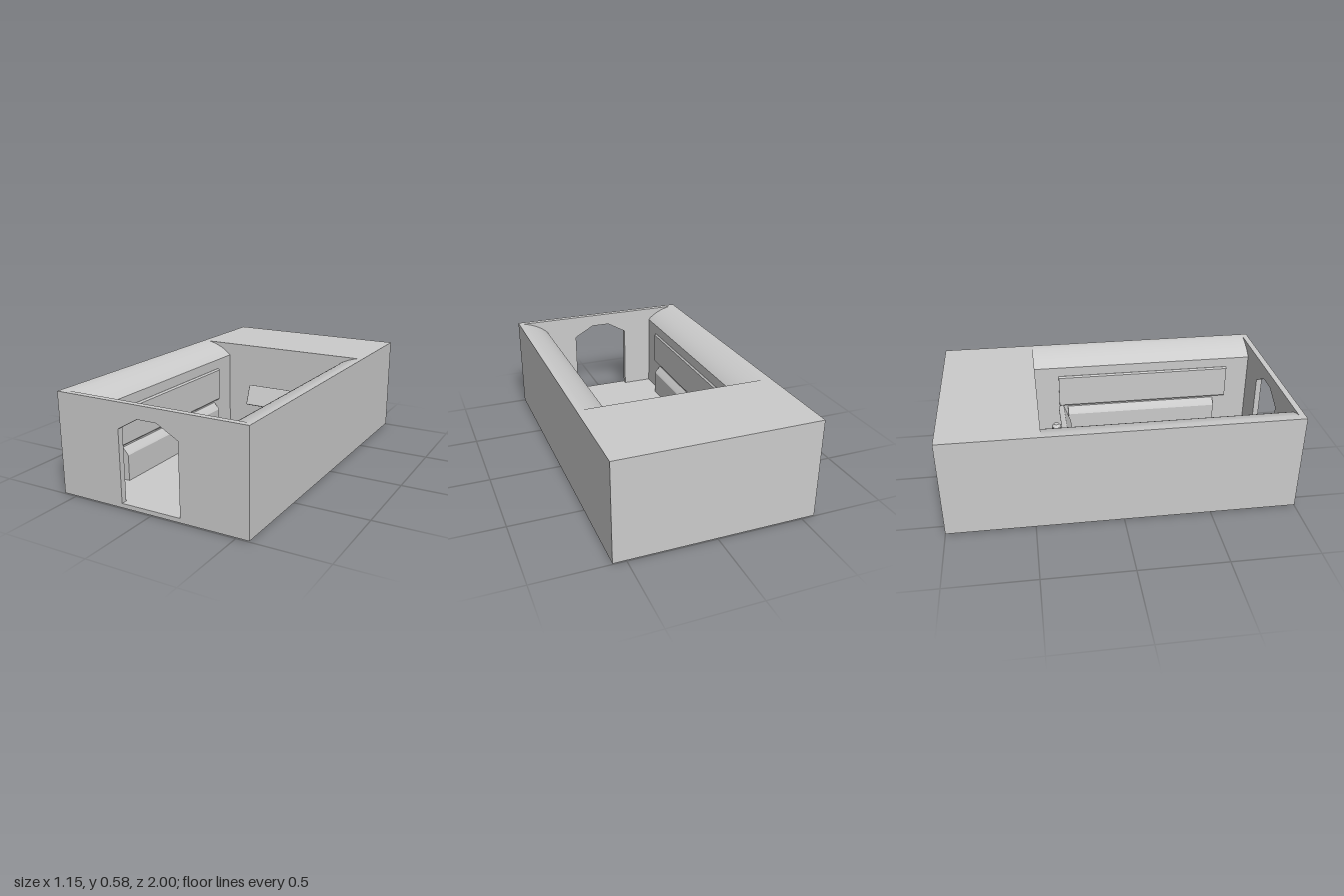
import * as THREE from 'three';
import { toCreasedNormals } from 'three/addons/utils/BufferGeometryUtils.js';
import { RoundedBoxGeometry } from 'three/addons/geometries/RoundedBoxGeometry.js';

const W = 0.575, BASE = 0.005, TOP = 0.585, FLOOR = 0.03;
const BACK = -0.445, FRONT = 0.965; // inner faces of the end walls
const CX = 0.0065; // centre line of the interior

export function createModel() {
  const model = new THREE.Group();
  const material = new THREE.MeshStandardMaterial({ color: 0xcccccc });

  function add(name, geometry, x = 0, y = 0, z = 0) {
    const mesh = new THREE.Mesh(geometry, material);
    mesh.name = name;
    mesh.position.set(x, y, z);
    model.add(mesh);
    return mesh;
  }
  function box(name, x0, x1, y0, y1, z0, z1) {
    return add(name, new THREE.BoxGeometry(x1 - x0, y1 - y0, z1 - z0),
      (x0 + x1) / 2, (y0 + y1) / 2, (z0 + z1) / 2);
  }
  // Extrude an x-y outline from z0 to z1, smoothing only gentle bends
  function extrude(name, shape, z0, z1) {
    const g = new THREE.ExtrudeGeometry(shape, { depth: z1 - z0, bevelEnabled: false, curveSegments: 12 });
    return add(name, toCreasedNormals(g, 0.5), 0, 0, z0);
  }
  const polygon = (pts) => new THREE.Shape(pts.map(([x, y]) => new THREE.Vector2(x, y)));

  // Floor and solid rear block
  box('floor', -0.4, 0.4, BASE, FLOOR, BACK, FRONT);
  box('rearBlock', -W, W, BASE, TOP, -1, BACK);

  // Front wall with a doorway
  const wall = polygon([[-W, BASE], [W, BASE], [W, TOP], [-W, TOP]]);
  wall.holes.push(polygon([[-0.183, FLOOR], [-0.183, 0.44], [-0.06, 0.51],
    [0.056, 0.51], [0.181, 0.44], [0.181, FLOOR]]));
  extrude('frontWall', wall, FRONT, 1);

  // Side walls with sloping shoulders, backrests and benches
  for (const s of [-1, 1]) {
    const side = s > 0 ? 'left' : 'right';
    const ix = (d) => CX + s * d;

    const profile = new THREE.Shape();
    profile.moveTo(s * W, BASE);
    profile.lineTo(s * W, TOP);
    profile.lineTo(ix(0.537), TOP);
    profile.quadraticCurveTo(ix(0.435), 0.563, ix(0.378), 0.505);
    profile.lineTo(ix(0.378), BASE);
    extrude(side + 'Wall', profile, BACK, FRONT);

    extrude(side + 'Backrest', polygon([[ix(0.42), 0.233], [ix(0.374), 0.233], [ix(0.368), 0.24],
      [ix(0.368), 0.435], [ix(0.376), 0.445], [ix(0.42), 0.445]]), -0.29, 0.82);

    extrude(side + 'Bench', polygon([[ix(0.42), FLOOR - 0.01], [ix(0.342), FLOOR - 0.01],
      [ix(0.342), 0.18], [ix(0.348), 0.19], [ix(0.39), 0.235], [ix(0.42), 0.235]]), -0.235, 0.74);
  }

  // Pedestal: base flange, column and thin post in one turned profile
  const px = 0.0125, pz = -0.335;
  const turned = [[0, 0], [0.098, 0], [0.098, 0.03], [0.108, 0.031], [0.1, 0.042], [0.068, 0.042],
    [0.068, 0.203], [0.061, 0.21], [0.028, 0.21], [0.028, 0.3], [0.015, 0.315], [0, 0.315]];
  add('pedestal', toCreasedNormals(new THREE.LatheGeometry(
    turned.map(([r, y]) => new THREE.Vector2(r, y)), 40), 0.5), px, 0, pz);

  // Short arm and tilted panel
  const arm = add('panelArm', new THREE.CylinderGeometry(0.015, 0.015, 0.06, 20), px, 0.29, -0.305);
  arm.rotation.x = Math.PI / 2;
  const panel = add('controlPanel', new RoundedBoxGeometry(0.285, 0.13, 0.034, 3, 0.008), px, 0.301, -0.273);
  panel.rotation.x = -0.36;

  return model;
}
